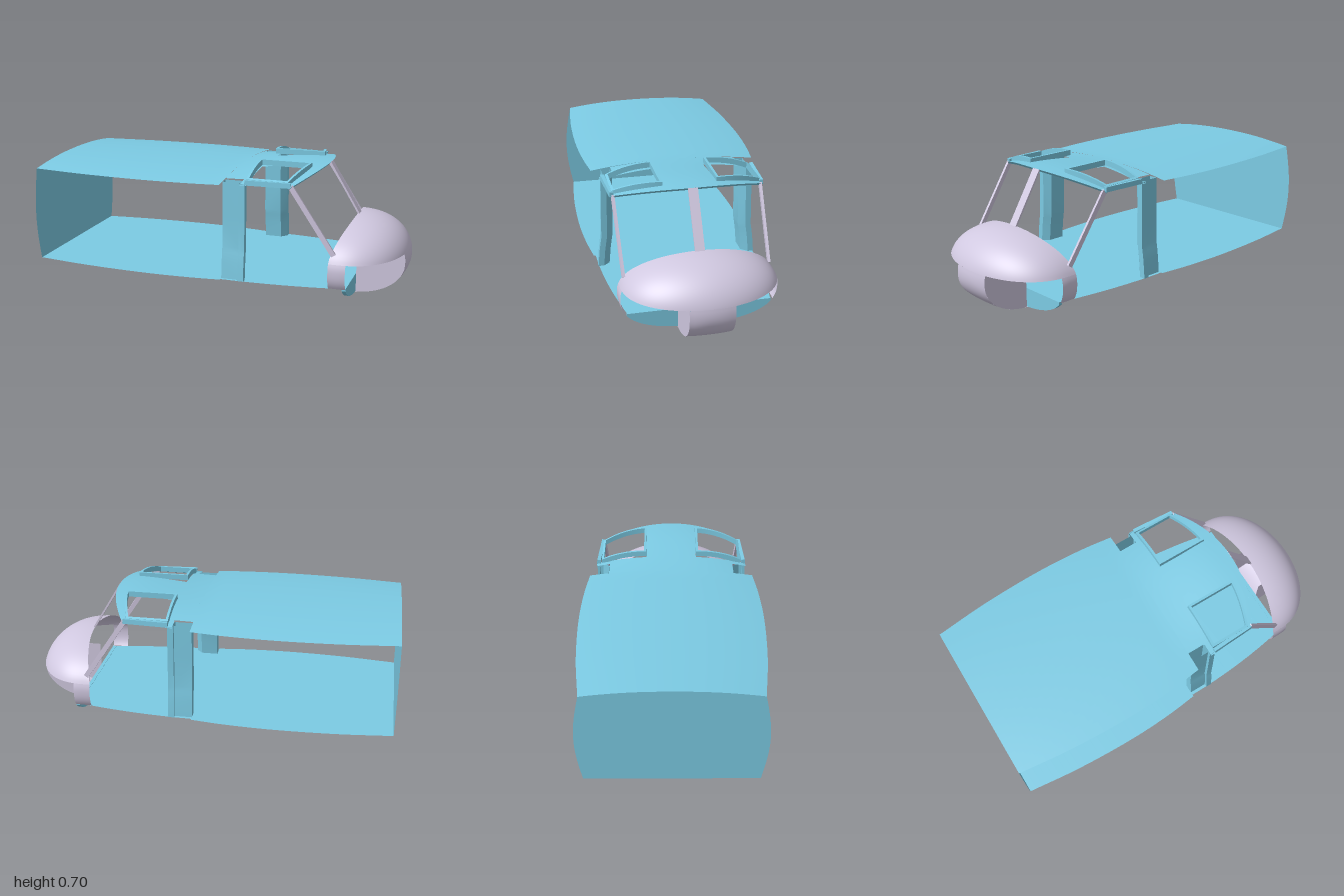
import * as THREE from 'three';
import { toCreasedNormals } from 'three/addons/utils/BufferGeometryUtils.js';

const blue = new THREE.MeshStandardMaterial({ color: 0x7ccbe4, side: THREE.DoubleSide });
const mauve = new THREE.MeshStandardMaterial({ color: 0xd0c8e0, side: THREE.DoubleSide });
const lerp = THREE.MathUtils.lerp;

// Surface patch from a rule f(u, v) -> [x, y, z], u and v in 0..1
function patch(nu, nv, f) {
  const pos = [], idx = [];
  for (let i = 0; i <= nu; i++) for (let j = 0; j <= nv; j++) pos.push(...f(i / nu, j / nv));
  for (let i = 0; i < nu; i++) for (let j = 0; j < nv; j++) {
    const a = i * (nv + 1) + j, b = a + nv + 1;
    idx.push(a, a + 1, b, b, a + 1, b + 1);
  }
  const g = new THREE.BufferGeometry();
  g.setAttribute('position', new THREE.Float32BufferAttribute(pos, 3));
  g.setIndex(idx);
  g.computeVertexNormals();
  return g;
}

// Flat shape drawn in (z, y) and set across the body at a given x
function acrossBody(points, x, depth) {
  const shape = new THREE.Shape(points.map(p => new THREE.Vector2(p[0], p[1])));
  const g = depth ? new THREE.ExtrudeGeometry(shape, { depth, bevelEnabled: false }) : new THREE.ShapeGeometry(shape);
  return g.rotateY(-Math.PI / 2).translate(x, 0, 0);
}

// Straight strut between two points
function strut(a, b, thick, wide) {
  const A = new THREE.Vector3(...a), B = new THREE.Vector3(...b);
  const g = new THREE.BoxGeometry(thick, A.distanceTo(B), wide);
  const q = new THREE.Quaternion().setFromUnitVectors(new THREE.Vector3(0, 1, 0), B.clone().sub(A).normalize());
  const mid = A.add(B).multiplyScalar(0.5);
  return g.applyQuaternion(q).translate(mid.x, mid.y, mid.z);
}

// Half width of the cabin along x
const cabinCurve = new THREE.CatmullRomCurve3([[-1, 0.437], [-0.7, 0.468], [-0.35, 0.48], [-0.1, 0.469], [0.07, 0.45]]
  .map(p => new THREE.Vector3(p[0], p[1], 0)));

// Roof height
const crown = x => 0.655 + 0.035 * THREE.MathUtils.smoothstep(x, 0, 0.5);
const roofY = (x, z, w = 0.42) => crown(x) - (crown(x) - 0.625) * Math.pow(Math.min(1, Math.abs(z) / w), 2.2);
const headerX = z => 0.555 - 0.115 * (z / 0.4) ** 2;
const holeX = z => 0.48 - 0.06 * Math.max(0, (Math.abs(z) - 0.14) / 0.25) ** 1.5;

// Nose: section scale along x, and its inverse over (y, z)
const W = 0.41, MID = 0.2, UP = 0.22;
const noseS = x => Math.sqrt(Math.max(0, 1 - Math.pow(Math.max(0, (x - 0.68) / 0.32), 2.3)));
const noseX = (y, z) => {
  const s = y > MID ? Math.hypot(z / W, (y - MID) / UP)
    : Math.pow(Math.pow(Math.abs(z) / W, 2.5) + Math.pow((MID - y) / MID, 2.5), 0.4);
  return 0.68 + 0.32 * Math.pow(Math.max(0, 1 - s * s), 1 / 2.3);
};
const noseZ = (y, s) => y > MID ? W * Math.sqrt(Math.max(0, s * s - ((y - MID) / UP) ** 2))
  : W * Math.pow(Math.max(0, Math.pow(s, 2.5) - Math.pow((MID - y) / MID, 2.5)), 0.4);

export function createModel() {
  const root = new THREE.Group();
  const add = (name, geo, mat) => {
    const m = new THREE.Mesh(geo, mat);
    m.name = name;
    root.add(m);
  };

  // Cabin roof, floor and rear wall
  add('cabinRoof', patch(32, 32, (u, v) => {
    const p = cabinCurve.getPoint(u), z = (v * 2 - 1) * p.y;
    return [p.x, roofY(p.x, z, p.y), z];
  }), blue);
  add('cabinFloor', patch(32, 1, (u, v) => {
    const p = cabinCurve.getPoint(u);
    return [p.x, 0.11, (1 - v * 2) * p.y];
  }), blue);
  add('cockpitFloor', patch(8, 1, (u, v) => [lerp(0.07, 0.73, u), 0.11, (1 - v * 2) * lerp(0.44, 0.372, u * u)]), blue);
  const wall = [];
  for (let i = 0; i <= 12; i++) {
    const t = i / 12;
    wall.push([0.437 + 0.034 * Math.sin(t * Math.PI), lerp(0.11, 0.625, t)]);
  }
  for (let i = 1; i < 16; i++) {
    const z = lerp(0.437, -0.437, i / 16);
    wall.push([z, roofY(-1, z, 0.437)]);
  }
  for (let i = 12; i >= 0; i--) wall.push([-wall[i][0], wall[i][1]]);
  add('rearWall', acrossBody(wall, -1), blue);

  // Forward roof: centre spine and the strip between the door posts
  add('roofSpine', patch(16, 12, (u, v) => {
    const z = (v * 2 - 1) * 0.14, x = lerp(0.07, headerX(z), u);
    return [x, roofY(x, z), z];
  }), blue);

  for (const s of [1, -1]) {
    const side = s > 0 ? 'left' : 'right';
    add(side + 'RoofBridge', patch(6, 12, (u, v) => {
      const x = lerp(0.07, 0.17, u), z = lerp(0.14, 0.345, v);
      return [x, roofY(x, z), s * z];
    }), blue);
    add(side + 'RoofCrossStrip', patch(2, 12, (u, v) => {
      const x = lerp(0.17, 0.205, u), z = lerp(0.14, 0.42, v);
      return [x, roofY(x, z), s * z];
    }), blue);
    add(side + 'WindshieldHeader', patch(4, 14, (u, v) => {
      const z = lerp(0.14, 0.4, v), x = lerp(holeX(z), headerX(z), u);
      return [x, roofY(x, z), s * z];
    }), blue);
    add(side + 'HeaderLip', patch(1, 20, (u, v) => {
      const z = 0.4 * v, x = headerX(z);
      return [x - 0.012 * u, roofY(x, z) - 0.014 * u, s * z];
    }), blue);
    add(side + 'RoofRail', toCreasedNormals(strut([0.195, 0.638, s * 0.408], [0.435, 0.637, s * 0.394], 0.026, 0.02), 0.5), blue);

    // Raised skylight rim: a rectangular section swept round the opening
    const rim = (t, inset) => {
      const e = Math.floor(t * 4) % 4, f = t * 4 - Math.floor(t * 4);
      const zi = 0.14 + inset, zo = 0.392 - inset, xa = 0.197 + inset;
      if (e === 0) return [xa, lerp(zi, zo, f)];
      if (e === 1) return [lerp(xa, holeX(zo) - inset, f), zo];
      if (e === 2) { const z = lerp(zo, zi, f); return [holeX(z) - inset, z]; }
      return [lerp(holeX(zi) - inset, xa, f), zi];
    };
    add(side + 'SkylightRim', toCreasedNormals(patch(48, 4, (u, v) => {
      const k = Math.round(v * 4) % 4;
      const [x, z] = rim(u, k === 1 || k === 2 ? 0.013 : 0);
      const top = 0.705 - 0.053 * Math.pow(Math.max(0, (z - 0.14) / 0.25), 2.2);
      return [x, k < 2 ? top - 0.03 : top, s * z];
    }), 0.5), blue);

    // Door post: stepped channel following the flare of the cabin side
    const section = [[0.07, -0.06], [0.07, -0.012], [0.165, -0.012], [0.165, 0.006], [0.197, 0.006], [0.197, -0.025], [0.165, -0.06], [0.07, -0.06]];
    const rows = [[0.11, 0.435], [0.2, 0.427], [0.25, 0.42], [0.28, 0.415], [0.45, 0.412], [0.63, 0.408]];
    add(side + 'DoorPost', toCreasedNormals(patch(5, 7, (u, v) => {
      const r = rows[Math.round(u * 5)], p = section[Math.round(v * 7)];
      return [p[0], r[0], s * (r[1] + p[1])];
    }), 0.4), blue);

    // Windshield side pillar
    add(side + 'WindshieldPillar', strut([0.432, 0.632, s * 0.388], [0.662, 0.285, s * 0.378], 0.026, 0.014), mauve);

    // Nose cheek beside the door opening
    add(side + 'NoseCheek', patch(6, 12, (u, v) => {
      const x = lerp(0.64, 0.73, u), y = lerp(0.11, 0.245, v);
      return [x, y, s * noseZ(y, noseS(x))];
    }), mauve);
    // Inner wall of the chin window
    const outline = [new THREE.Vector2(0.73, 0.245)];
    for (let i = 0; i <= 20; i++) {
      const y = lerp(0.245, 0.007, Math.sin(i / 20 * Math.PI / 2));
      outline.push(new THREE.Vector2(Math.max(0.73, noseX(y, 0.115)), y));
    }
    outline.push(new THREE.Vector2(0.73, 0.007));
    add(side + 'ChinWall', new THREE.ShapeGeometry(new THREE.Shape(outline)).translate(0, 0, s * 0.115), mauve);
  }

  // Windshield centre post
  add('centrePost', strut([0.55, 0.688, 0], [0.715, 0.415, 0], 0.01, 0.05), mauve);

  // Upper nose shell, down to the top of the chin windows
  const tip = noseX(0.245, 0);
  add('noseUpper', patch(28, 40, (u, v) => {
    const x0 = 0.64 + 0.07 * Math.pow(Math.sin(v * Math.PI), 1.5);
    const x = lerp(x0, tip, Math.sin(u * Math.PI / 2)), s = noseS(x);
    const a0 = Math.asin(Math.min(1, 0.045 / (UP * s))), a = lerp(a0, Math.PI - a0, v);
    return [x, MID + UP * s * Math.sin(a), W * s * Math.cos(a)];
  }), mauve);
  // Narrow keel strip between the chin windows
  add('noseKeel', patch(28, 10, (u, v) => {
    const z = (v * 2 - 1) * 0.115, s0 = noseS(0.71);
    const low = MID - MID * Math.pow(Math.pow(s0, 2.5) - Math.pow(Math.abs(z) / W, 2.5), 0.4);
    const y = lerp(0.245, low, Math.sin(u * Math.PI / 2));
    return [noseX(y, z), y, z];
  }), mauve);

  // Bulkhead below the cockpit floor
  const sill = [];
  for (let i = 0; i <= 32; i++) {
    const z = lerp(-0.375, 0.375, i / 32);
    sill.push([z, Math.min(0.11, MID - 0.195 * Math.pow(1 - Math.pow(Math.abs(z) / W, 2.5), 0.4))]);
  }
  sill.push([0.375, 0.112], [-0.375, 0.112]);
  add('chinBulkhead', acrossBody(sill, 0.73, 0.02), blue);

  return root;
}
